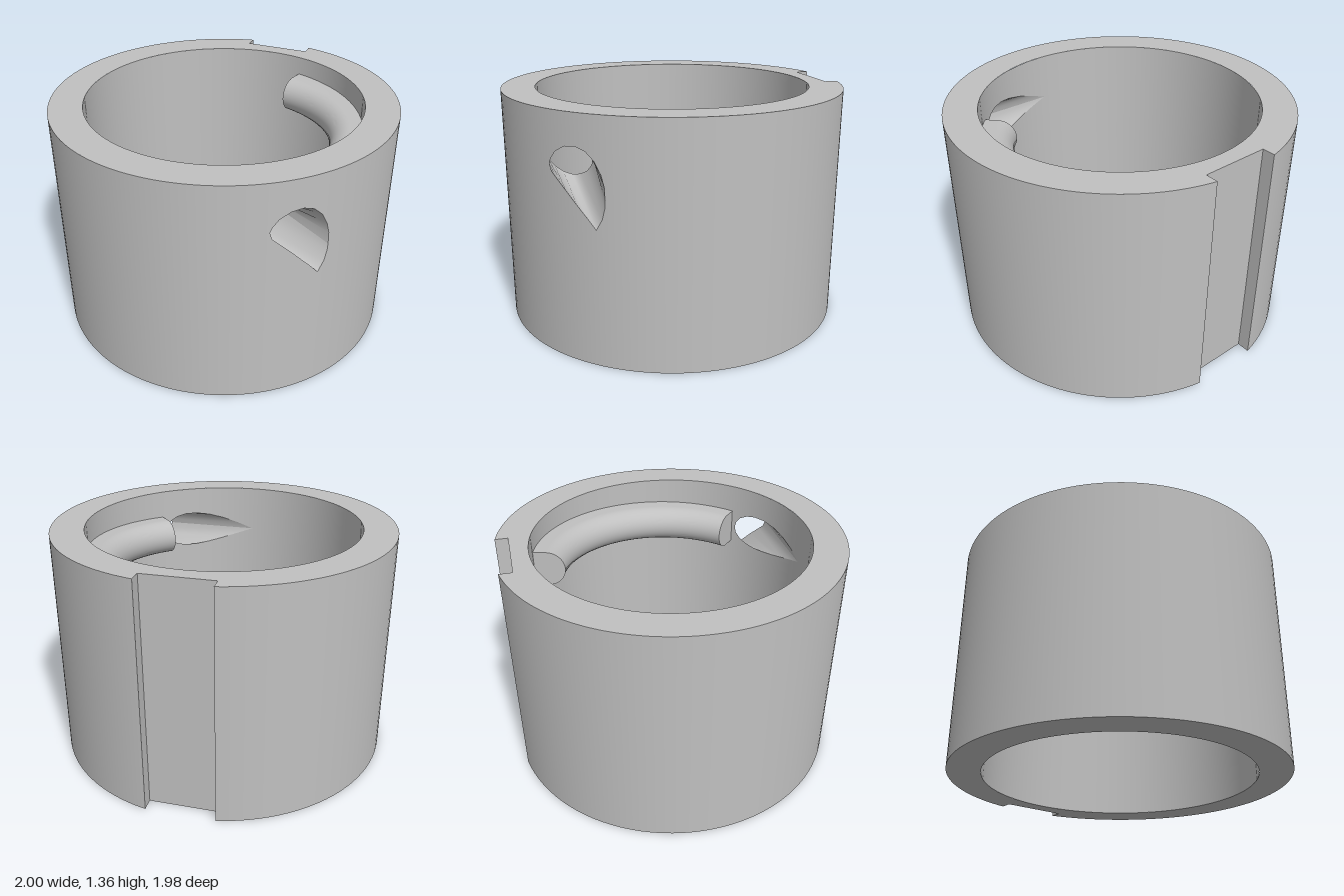
import * as THREE from 'three';
import { toCreasedNormals } from 'three/addons/utils/BufferGeometryUtils.js';

const H = 1.36, R = 1, RI = 0.805;         // height, outer and inner radius
const NOTCH_X = 0.2, NOTCH_Z = 0.905;      // keyway half width and floor distance
const GAP = Math.asin(NOTCH_X / R);
const CZ = -0.01;                          // ring axis

// Port edge on the outer wall: z, low y, high y
const outerPort = [
  [0.57, 0.93, 0.93], [0.572, 0.89, 1.0], [0.585, 0.83, 1.06], [0.613, 0.77, 1.125],
  [0.65, 0.825, 1.17], [0.695, 0.887, 1.19], [0.74, 0.953, 1.183], [0.78, 1.01, 1.15],
  [0.8, 1.04, 1.11], [0.808, 1.08, 1.08],
];
// Port edge on the inner wall: a circle seen along x
const innerPort = outerPort.map((_, i) => {
  const a = Math.PI * i / (outerPort.length - 1), h = 0.112 * Math.sin(a);
  return [0.693 - 0.112 * Math.cos(a), 1.08 - h, 1.08 + h];
});

function buffer(pos, idx, normals) {
  const g = new THREE.BufferGeometry();
  g.setAttribute('position', new THREE.Float32BufferAttribute(pos, 3));
  g.setIndex(idx);
  if (normals) g.setAttribute('normal', new THREE.Float32BufferAttribute(normals, 3));
  else g.computeVertexNormals();
  return g;
}

// Cylindrical wall in columns; each column is split around the port opening
function wall(radius, port, from, to, outward) {
  const cols = port.map(([z, lo, hi]) => [Math.acos(Math.min(1, z / radius)), lo, hi]).reverse();
  const first = cols[0], last = cols[cols.length - 1];
  const n = 60, before = [], after = [];
  for (let i = 0; i < n; i++) {
    before.push([from + (first[0] - from) * i / n, first[1], first[1]]);
    after.push([last[0] + (to - last[0]) * (i + 1) / n, last[1], last[1]]);
  }
  const pos = [], nor = [], idx = [], s = outward ? 1 : -1;
  [...before, ...cols, ...after].forEach(([a, lo, hi], i) => {
    for (const y of [0, lo, hi, H]) {
      pos.push(radius * Math.sin(a), y, radius * Math.cos(a));
      nor.push(s * Math.sin(a), 0, s * Math.cos(a));
    }
    if (i === 0) return;
    for (const k of [0, 2]) {
      const p = (i - 1) * 4 + k, q = i * 4 + k;
      if (outward) idx.push(p, q, q + 1, p, q + 1, p + 1);
      else idx.push(p, q + 1, q, p, p + 1, q + 1);
    }
  });
  return buffer(pos, idx, nor);
}

// Ruled floor (side 1) or ceiling (side 2) of the port
function portSurface(side) {
  const pos = [], idx = [];
  outerPort.forEach((o, i) => {
    const n = innerPort[i];
    pos.push(Math.sqrt(R * R - o[0] ** 2), o[side], o[0]);
    pos.push(Math.sqrt(Math.max(0, RI * RI - n[0] ** 2)), n[side], n[0]);
    if (i === 0) return;
    const a = 2 * i - 2, b = a + 1, c = a + 2, d = a + 3;
    if (side === 1) idx.push(a, b, d, a, d, c);
    else idx.push(a, d, b, a, c, d);
  });
  return buffer(pos, idx);
}

// Flat annular end with the keyway cut out
function endFace(top) {
  const s = new THREE.Shape();
  s.absarc(0, 0, R, Math.PI / 2 + GAP, Math.PI * 2.5 - GAP, false);
  s.lineTo(NOTCH_X, NOTCH_Z);
  s.lineTo(-NOTCH_X, NOTCH_Z);
  s.closePath();
  const hole = new THREE.Path();
  hole.absarc(0, 0, RI, 0, Math.PI * 2, true);
  s.holes.push(hole);
  const g = new THREE.ShapeGeometry(s, 120);
  if (top) return g.rotateX(-Math.PI / 2).translate(0, H, 0);
  return g.rotateZ(Math.PI).rotateX(Math.PI / 2);
}

// Rounded rail profile swept along a slightly rising arc
function railGeometry() {
  const r = 0.108, mid = 0.73;
  const s = new THREE.Shape();
  s.moveTo(RI, r);
  s.lineTo(mid, r);
  s.absarc(mid, 0, r, Math.PI / 2, Math.PI * 1.5, false);
  s.lineTo(RI, -r);
  s.closePath();
  const g = new THREE.ExtrudeGeometry(s, { depth: 1, steps: 48, bevelEnabled: false, curveSegments: 16 });
  const p = g.attributes.position;
  for (let i = 0; i < p.count; i++) {
    const t = p.getZ(i), rad = p.getX(i);
    const a = THREE.MathUtils.degToRad(165.3 - 119.8 * t);
    p.setXYZ(i, rad * Math.sin(a), p.getY(i) + 1.14 - 0.06 * t, rad * Math.cos(a));
  }
  return toCreasedNormals(g, 0.5);
}

export function createModel() {
  const model = new THREE.Group();
  model.name = 'slottedSleeve';
  const metal = new THREE.MeshStandardMaterial({ color: 0xc0c0c0 });
  metal.name = 'plain grey';
  const add = (name, geometry) => {
    const m = new THREE.Mesh(geometry, metal);
    m.name = name;
    m.position.z = CZ;
    model.add(m);
    return m;
  };

  // Sleeve
  add('outerWall', wall(R, outerPort, -Math.PI + GAP, Math.PI - GAP, true));
  add('innerWall', wall(RI, innerPort, -Math.PI, Math.PI, false));
  add('topFace', endFace(true));
  add('bottomFace', endFace(false));

  // Keyway at the back
  const edge = Math.sqrt(R * R - NOTCH_X ** 2), depth = edge - NOTCH_Z;
  add('keywayFloor', new THREE.PlaneGeometry(NOTCH_X * 2, H).rotateY(Math.PI).translate(0, H / 2, -NOTCH_Z));
  for (const s of [-1, 1]) {
    add(s > 0 ? 'keywayLeftSide' : 'keywayRightSide',
      new THREE.PlaneGeometry(depth, H).rotateY(-s * Math.PI / 2)
        .translate(s * NOTCH_X, H / 2, -(edge + NOTCH_Z) / 2));
  }

  // Flared port through the wall
  add('portFloor', portSurface(1));
  add('portCeiling', portSurface(2));

  // Inner guide rail
  add('guideRail', railGeometry());
  return model;
}
